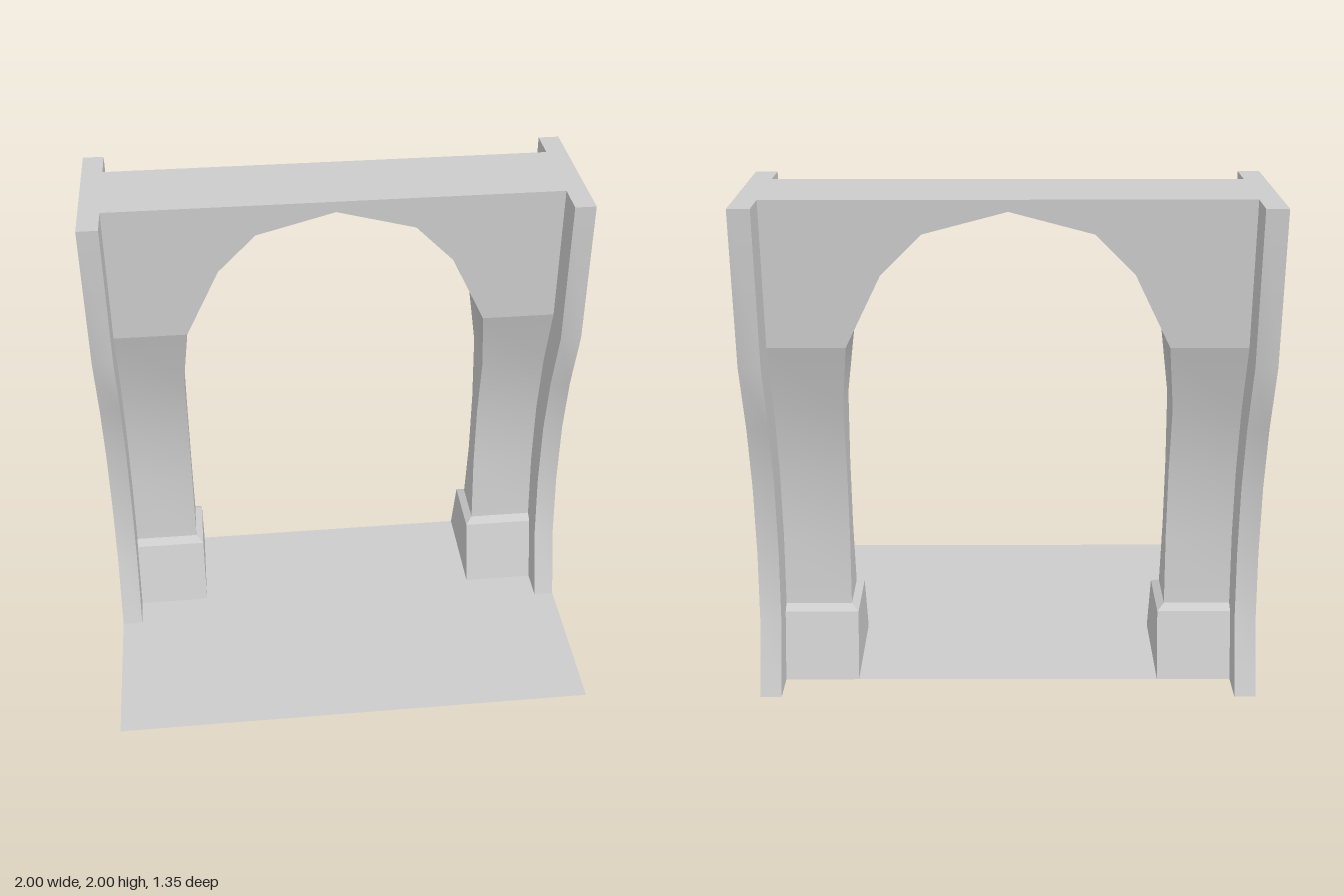
import * as THREE from 'three';

const CENTRE = -0.325; // middle of the arch in z
const RIB_IN = 0.915, RIB_OUT = 1;
const FOOT_X = 0.615, POST_X = 0.645;

// Half-depth profiles, [y, half depth], measured from the arch centre
const footProfile = [[0, 0.22], [0.27, 0.135]];
const bevelProfile = [[0.27, 0.135], [0.29, 0.1]];
const postProfile = [[0.29, 0.1], [0.58, 0.06], [0.87, 0.06], [1.15, 0.1], [1.43, 0.18]];
const wallProfile = [...footProfile, ...postProfile, [2, 0.18]];
const ribProfile = [[0, 0.35], [0.29, 0.245], [0.57, 0.206], [0.86, 0.206], [1.12, 0.245], [1.4, 0.325], [2, 0.325]];

// Opening outline, right half from post foot to just before the apex
const archHalf = [[0.645, 0.29], [0.645, 0.58], [0.645, 0.87], [0.645, 1.15],
  [0.615, 1.43], [0.475, 1.715], [0.32, 1.87]];
const APEX = [0, 1.955];

const material = new THREE.MeshStandardMaterial({ color: 0xcccccc, side: THREE.DoubleSide });

function sample(profile, y) {
  for (let i = 1; i < profile.length; i++) {
    const [y0, d0] = profile[i - 1], [y1, d1] = profile[i];
    if (y <= y1) return d0 + (d1 - d0) * (y - y0) / (y1 - y0);
  }
  return profile[profile.length - 1][1];
}

// Smooth ribbon between two point rows; b lies to the right of a
function strip(a, b, flip = false) {
  if (flip) [a, b] = [b, a];
  const pos = [], index = [];
  a.forEach((p, i) => {
    pos.push(...p, ...b[i]);
    if (i) {
      const k = 2 * i - 2;
      index.push(k, k + 1, k + 2, k + 1, k + 3, k + 2);
    }
  });
  const g = new THREE.BufferGeometry();
  g.setAttribute('position', new THREE.Float32BufferAttribute(pos, 3));
  g.setIndex(index);
  g.computeVertexNormals();
  return g;
}

function flat(points) {
  return new THREE.ShapeGeometry(new THREE.Shape(points.map(p => new THREE.Vector2(...p))));
}

// Mirrors a right-half outline across x = 0 and closes it
const mirrored = half => [...half, ...half.map(([x, y]) => [-x, y]).reverse()];

export function createModel() {
  const model = new THREE.Group();
  const add = (name, geometry, parent = model) => {
    const mesh = new THREE.Mesh(geometry, material);
    mesh.name = name;
    parent.add(mesh);
    return mesh;
  };

  const arch = new THREE.Group();
  arch.name = 'arch';
  arch.position.z = CENTRE;
  model.add(arch);

  const levels = [...new Set([...wallProfile, ...ribProfile].map(p => p[0]))].sort((a, b) => a - b);

  for (const sx of [1, -1]) {
    for (const sz of [1, -1]) {
      const flip = sx * sz < 0;
      const row = (profile, x) => profile.map(([y, d]) => [sx * x, y, sz * d]);
      // Front or back faces of foot and post
      add('footFace', strip(row(footProfile, FOOT_X), row(footProfile, RIB_IN), flip), arch);
      add('footBevel', strip(
        [[sx * FOOT_X, 0.27, sz * 0.135], [sx * POST_X, 0.29, sz * 0.1]],
        row(bevelProfile, RIB_IN), flip), arch);
      const postInner = postProfile.map(([y, d]) => [sx * (y > 1.4 ? FOOT_X : POST_X), y, sz * d]);
      add('postFace', strip(postInner, row(postProfile, RIB_IN), flip), arch);
      // Projecting rib at the end: outer face and the side towards the wall
      add('ribFace', strip(row(ribProfile, RIB_IN), row(ribProfile, RIB_OUT), flip), arch);
      const side = profile => row(levels.map(y => [y, sample(profile, y)]), RIB_IN);
      const wallSide = row(levels.map(y => [y,
        y > 0.27 && y < 0.29 ? sample(bevelProfile, y) : sample(wallProfile, y)]), RIB_IN);
      add('ribSide', strip(wallSide, side(ribProfile), flip), arch);
    }
    // Faces of the foot towards the opening
    const inner = s => [[sx * FOOT_X, 0, s * 0.22], [sx * FOOT_X, 0.27, s * 0.135]];
    add('footInnerFace', strip(inner(-sx), inner(sx)), arch);
    const innerBevel = s => [[sx * FOOT_X, 0.27, s * 0.135], [sx * POST_X, 0.29, s * 0.1]];
    add('footInnerBevel', strip(innerBevel(-sx), innerBevel(sx)), arch);
  }

  // Underside of the arch, running from one post over to the other
  const path = [...archHalf.map(([x, y]) => [-x, y]), APEX, ...[...archHalf].reverse()];
  const edge = s => path.map(([x, y]) => [x, y, s * sample(wallProfile, y)]);
  add('soffit', strip(edge(1), edge(-1)), arch);

  // Flat walls above the posts
  const spandrel = mirrored([APEX, ...archHalf.slice(4).reverse(), [RIB_IN, 1.43], [RIB_IN, 2]]);
  spandrel.pop(); // apex is already the first point
  add('frontSpandrel', flat(spandrel).translate(0, 0, 0.18), arch);
  add('backSpandrel', flat(spandrel).rotateY(Math.PI).translate(0, 0, -0.18), arch);

  // Top slab with wings over the ribs
  const top = mirrored([[RIB_IN, -0.18], [RIB_IN, -0.325], [RIB_OUT, -0.325],
    [RIB_OUT, 0.325], [RIB_IN, 0.325], [RIB_IN, 0.18]]);
  add('top', flat(top).rotateX(-Math.PI / 2).translate(0, 2, 0), arch);

  // Ground sheet, cut around the feet (outline uses -z)
  const floor = mirrored([[RIB_OUT, -0.675], [RIB_OUT, -0.025], [RIB_IN, -0.025],
    [RIB_IN, 0.105], [FOOT_X, 0.105], [FOOT_X, 0.545]]);
  add('floor', flat(floor).rotateX(-Math.PI / 2));

  return model;
}
